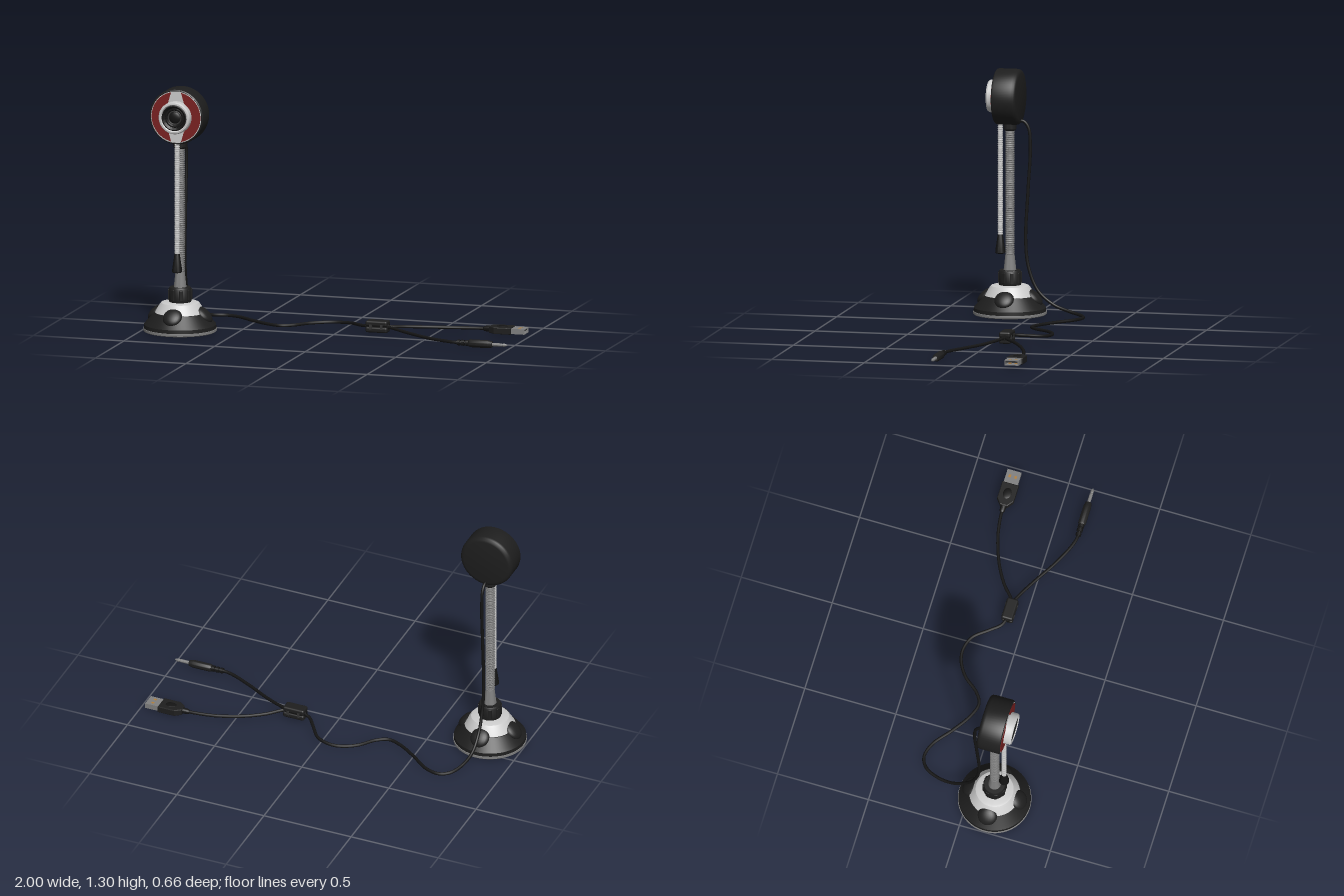
import * as THREE from 'three';
import { toCreasedNormals } from 'three/addons/utils/BufferGeometryUtils.js';
import { RoundedBoxGeometry } from 'three/addons/geometries/RoundedBoxGeometry.js';

const mat = (color) => new THREE.MeshStandardMaterial({ color });
const black = mat(0x1e1e1e), rubber = mat(0x141414), dark = mat(0x333333);
const light = mat(0xcccccc), steel = mat(0x808080), red = mat(0x7a2020), gold = mat(0xb08040);

const CX = -0.805, CZ = 0.135; // axis of the stand

function add(parent, name, geo, material, x = 0, y = 0, z = 0) {
  const m = new THREE.Mesh(geo, material);
  m.name = name;
  m.position.set(x, y, z);
  parent.add(m);
  return m;
}

// Turned part about y; pts are [radius, height] from bottom to top
function turned(pts, sides = 40, crease = 0.55) {
  const g = new THREE.LatheGeometry(pts.map(p => new THREE.Vector2(p[0], p[1])), sides);
  return toCreasedNormals(g, crease);
}
const turnedZ = (pts, sides) => turned(pts, sides).rotateX(Math.PI / 2);
const turnedX = (pts, sides) => turned(pts, sides).rotateZ(-Math.PI / 2);

// Ribbed flexible tube
function gooseneck(radius, y0, y1, ribs) {
  const pts = [], step = (y1 - y0) / ribs;
  for (let i = 0; i < ribs; i++) {
    const y = y0 + i * step;
    pts.push([radius * 0.87, y], [radius, y + step * 0.35], [radius, y + step * 0.7]);
  }
  pts.push([radius * 0.87, y1]);
  return turned(pts, 16, 0.9);
}

function cable(points, segments) {
  const curve = new THREE.CatmullRomCurve3(points.map(p => new THREE.Vector3(...p)));
  return new THREE.TubeGeometry(curve, segments, 0.0085, 10);
}

function buildBase() {
  const g = new THREE.Group();
  g.name = 'base';
  add(g, 'baseDisc', turned([[0, 0], [0.19, 0], [0.194, 0.004], [0.194, 0.016], [0.18, 0.018]], 56), steel);
  add(g, 'baseSkirt', turned([[0.18, 0.016], [0.191, 0.017], [0.19, 0.036], [0.178, 0.05],
    [0.137, 0.1], [0.12, 0.102]], 56), black);
  add(g, 'baseBand', turned([[0.13, 0.098], [0.134, 0.101], [0.108, 0.142], [0.1, 0.152],
    [0.088, 0.156], [0, 0.158]], 56), light);
  // Four round pads set into the slope
  for (let i = 0; i < 4; i++) {
    const pivot = new THREE.Group();
    pivot.name = 'basePad';
    pivot.rotation.y = i * Math.PI / 2;
    const pad = add(pivot, 'pad', new THREE.SphereGeometry(1, 24, 14), black, 0, 0.093, 0.132);
    pad.scale.set(0.052, 0.055, 0.026);
    pad.rotation.x = -0.8;
    g.add(pivot);
  }
  // Grip collar
  add(g, 'collar', turned([[0.05, 0.153], [0.058, 0.156], [0.06, 0.165], [0.06, 0.226],
    [0.055, 0.235], [0, 0.236]], 32), black);
  for (let i = 0; i < 8; i++) {
    const a = (i + 0.5) * Math.PI / 4;
    const rib = add(g, 'collarRib', new RoundedBoxGeometry(0.02, 0.058, 0.01, 2, 0.003), black,
      Math.sin(a) * 0.059, 0.196, Math.cos(a) * 0.059);
    rib.rotation.y = a;
  }
  return g;
}

function buildHead() {
  const g = new THREE.Group();
  g.name = 'head';
  // Drum shell with rounded edges, z running forward
  add(g, 'shell', turnedZ([[0, -0.065], [0.125, -0.065], [0.137, -0.062], [0.145, -0.054], [0.148, -0.042],
    [0.148, 0.054], [0.146, 0.062], [0.141, 0.066], [0.137, 0.062], [0, 0.06]], 64), black);
  add(g, 'facePlate', turnedZ([[0.138, 0.058], [0.138, 0.065], [0, 0.065]], 64), light);
  // Two coloured side panels, mirrored
  for (const s of [0, Math.PI]) {
    const shape = new THREE.Shape();
    shape.absarc(0, 0, 0.134, -1.36, 1.36, false);
    shape.absarc(0, 0, 0.086, 1.02, -1.02, true);
    shape.closePath();
    const geo = new THREE.ExtrudeGeometry(shape, { depth: 0.005, bevelEnabled: false, curveSegments: 32 });
    add(g, 'sidePanel', geo, red, 0, 0, 0.063).rotation.z = s;
  }
  // Lens barrel, dark cup and glass
  add(g, 'lensRing', turnedZ([[0.08, 0.06], [0.086, 0.064], [0.086, 0.1], [0.081, 0.108],
    [0.073, 0.109], [0.066, 0.1]], 48), light);
  add(g, 'lensCup', turnedZ([[0.07, 0.095], [0.07, 0.102], [0.063, 0.104], [0.052, 0.094],
    [0.05, 0.097], [0.044, 0.097], [0.036, 0.086], [0, 0.086]], 48), rubber);
  add(g, 'lensInnerRing', new THREE.TorusGeometry(0.035, 0.004, 8, 36), dark, 0, 0, 0.09);
  add(g, 'lensGlass', new THREE.SphereGeometry(0.032, 24, 12), rubber, 0, 0, 0.084).scale.z = 0.35;
  g.position.set(CX, 1.157, 0.14);
  return g;
}

function buildUsbPlug() {
  const g = new THREE.Group();
  g.name = 'usbPlug';
  add(g, 'strainRelief', turnedX([[0.009, 0.735], [0.014, 0.742], [0.018, 0.785], [0, 0.786]], 16), rubber);
  // Tapered grip outline
  const s = new THREE.Shape();
  s.moveTo(0.775, -0.018);
  s.lineTo(0.805, -0.041);
  s.lineTo(0.895, -0.041);
  s.lineTo(0.895, 0.041);
  s.lineTo(0.805, 0.041);
  s.lineTo(0.775, 0.018);
  s.closePath();
  const geo = new THREE.ExtrudeGeometry(s, { depth: 0.028, bevelSize: 0.004, bevelThickness: 0.004, bevelSegments: 2 });
  geo.rotateX(Math.PI / 2).translate(0, 0.014, 0);
  add(g, 'grip', geo, black);
  for (const y of [0.016, -0.016]) {
    add(g, 'thumbPad', new THREE.SphereGeometry(1, 20, 10), rubber, 0.84, y).scale.set(0.032, 0.006, 0.024);
  }
  // Metal shell, open at the tip
  const outer = new THREE.Shape();
  outer.moveTo(-0.038, -0.014);
  outer.lineTo(0.038, -0.014);
  outer.lineTo(0.038, 0.014);
  outer.lineTo(-0.038, 0.014);
  outer.closePath();
  const hole = new THREE.Path();
  hole.moveTo(-0.034, -0.01);
  hole.lineTo(-0.034, 0.01);
  hole.lineTo(0.034, 0.01);
  hole.lineTo(0.034, -0.01);
  hole.closePath();
  outer.holes.push(hole);
  const shell = new THREE.ExtrudeGeometry(outer, { depth: 0.08, bevelEnabled: false }).rotateY(Math.PI / 2);
  add(g, 'metalShell', shell, steel, 0.893);
  add(g, 'tongue', new THREE.BoxGeometry(0.07, 0.008, 0.066), dark, 0.93, 0.004);
  for (const z of [-0.016, 0.016]) {
    add(g, 'shellSlot', new THREE.BoxGeometry(0.016, 0.0295, 0.013), gold, 0.938, 0, z);
  }
  g.position.set(0, 0.023, -0.29);
  return g;
}

function buildJack() {
  const g = new THREE.Group();
  g.name = 'audioJack';
  for (let i = 0; i < 3; i++) {
    const x = 0.725 + i * 0.024, r = 0.015 + i * 0.001;
    add(g, 'strainRib', turnedX([[0, x], [r, x], [r, x + 0.015], [0, x + 0.015]], 16), rubber);
  }
  add(g, 'strainCore', turnedX([[0.0095, 0.72], [0.0095, 0.8]], 12), rubber);
  add(g, 'grip', turnedX([[0, 0.79], [0.018, 0.79], [0.021, 0.797], [0.021, 0.895], [0.016, 0.918], [0, 0.918]], 24), black);
  add(g, 'pin', turnedX([[0.009, 0.915], [0.009, 0.968], [0.007, 0.971], [0.007, 0.974], [0.009, 0.977],
    [0.0085, 0.985], [0.003, 1.0], [0, 1.0]], 16), steel);
  g.position.set(0, 0.025, 0.133);
  return g;
}

function buildCableBox() {
  const g = new THREE.Group();
  g.name = 'cableSplitter';
  add(g, 'core', new RoundedBoxGeometry(0.1, 0.052, 0.052, 3, 0.01), rubber);
  for (const s of [-1, 1]) {
    add(g, 'halfShell', new RoundedBoxGeometry(0.12, 0.03, 0.062, 3, 0.01), black, 0, s * 0.0165, 0);
    add(g, 'endCap', turnedX([[0, -0.01], [0.016, -0.01], [0.016, 0.01], [0, 0.01]], 16), rubber, s * 0.053, 0, 0);
    for (const x of [-0.03, 0.03]) add(g, 'clip', new THREE.BoxGeometry(0.014, 0.026, 0.004), dark, x, 0, s * 0.031);
  }
  g.position.set(0.215, 0.042, -0.088);
  return g;
}

export function createModel() {
  const model = new THREE.Group();
  model.name = 'webcam';

  const base = buildBase();
  base.position.set(CX, 0, CZ);
  model.add(base);

  // Stem and microphone arm
  add(model, 'stemFoot', turned([[0.034, 0.23], [0.033, 0.24], [0.024, 0.32], [0, 0.322]], 24), steel, CX, 0, CZ);
  add(model, 'stem', gooseneck(0.025, 0.318, 0.985, 60), steel, CX, 0, CZ);
  add(model, 'stemCollar', turned([[0, 0.978], [0.028, 0.978], [0.034, 0.986], [0.034, 1.02], [0, 1.02]], 24), black, CX, 0, CZ);
  add(model, 'microphoneArm', gooseneck(0.014, 0.42, 1.02, 60), light, CX, 0, 0.187);
  add(model, 'microphone', turned([[0, 0.325], [0.02, 0.325], [0.023, 0.321], [0.027, 0.325], [0.025, 0.345],
    [0.014, 0.42], [0.011, 0.43], [0, 0.43]], 24), rubber, CX, 0, 0.187);

  model.add(buildHead());

  // Main cable: down the back, then winding along the floor
  add(model, 'mainCable', cable([
    [CX, 1.03, 0.09], [CX, 1.028, 0.06], [CX, 0.995, 0.035], [CX, 0.89, 0.025], [CX, 0.667, 0.037],
    [CX, 0.39, 0.05], [CX, 0.25, 0.034], [CX, 0.13, -0.016], [-0.804, 0.058, -0.1], [-0.785, 0.028, -0.187],
    [-0.745, 0.015, -0.26], [-0.69, 0.012, -0.288], [-0.61, 0.012, -0.267], [-0.505, 0.012, -0.187],
    [-0.398, 0.012, -0.118], [-0.323, 0.012, -0.096], [-0.265, 0.012, -0.128], [-0.195, 0.012, -0.21],
    [-0.12, 0.013, -0.255], [-0.055, 0.015, -0.264], [0.02, 0.02, -0.238], [0.083, 0.03, -0.16],
    [0.126, 0.037, -0.107], [0.17, 0.042, -0.088]], 240), rubber);
  add(model, 'usbCable', cable([[0.26, 0.042, -0.092], [0.285, 0.04, -0.105], [0.35, 0.034, -0.16], [0.457, 0.027, -0.22],
    [0.59, 0.023, -0.267], [0.7, 0.023, -0.287], [0.76, 0.023, -0.29]], 70), rubber);
  add(model, 'audioCable', cable([[0.26, 0.042, -0.084], [0.29, 0.04, -0.076], [0.4, 0.03, -0.02], [0.537, 0.025, 0.06],
    [0.644, 0.025, 0.112], [0.7, 0.025, 0.13], [0.74, 0.025, 0.133]], 70), rubber);

  model.add(buildCableBox(), buildUsbPlug(), buildJack());
  return model;
}
